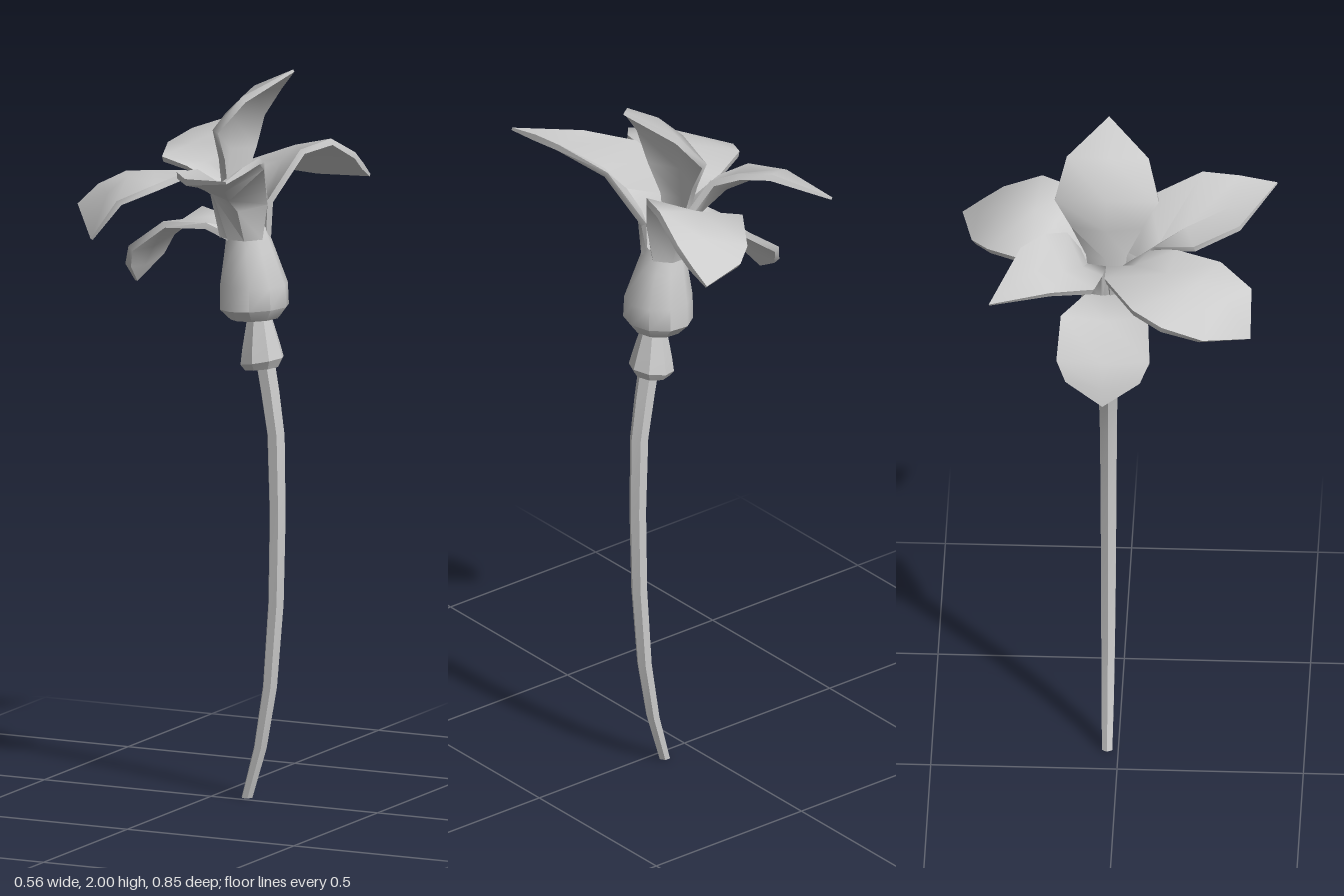
import * as THREE from 'three';
import { toCreasedNormals } from 'three/addons/utils/BufferGeometryUtils.js';

const AXIS_Z = -0.03;
const material = new THREE.MeshStandardMaterial({ color: 0xcccccc, side: THREE.DoubleSide });

function makeGeometry(positions, index, crease) {
  const g = new THREE.BufferGeometry();
  g.setAttribute('position', new THREE.Float32BufferAttribute(positions, 3));
  g.setIndex(index);
  return toCreasedNormals(g, crease);
}

// Closed body through rings given as [x, y, radius, rise towards +x]
function loft(rings, sides, crease) {
  const pos = [], idx = [], last = rings.length - 1;
  for (const [x, y, r, tilt = 0] of rings)
    for (let s = 0; s < sides; s++) {
      const a = (s / sides) * Math.PI * 2;
      pos.push(x + r * Math.cos(a), y + tilt * Math.cos(a), AXIS_Z + r * Math.sin(a));
    }
  for (let i = 0; i < last; i++)
    for (let s = 0; s < sides; s++) {
      const t = (s + 1) % sides, a = i * sides, b = a + sides;
      idx.push(a + s, b + s, a + t, a + t, b + s, b + t);
    }
  for (let s = 1; s < sides - 1; s++) {
    const b = last * sides;
    idx.push(0, s, s + 1, b, b + s + 1, b + s);
  }
  return makeGeometry(pos, idx, crease);
}

// Thin folded blade: rows of left edge, midrib, right edge, ending in a tip
function petal(rows, tip, thickness = 0.018) {
  const grid = [...rows, [tip, tip, tip]].map(r => r.map(p => new THREE.Vector3(...p)));
  const n = grid.length, pos = [], idx = [];
  const under = [];
  grid.forEach((row, i) => {
    const along = grid[Math.min(i + 1, n - 1)][1].clone().sub(grid[Math.max(i - 1, 0)][1]);
    const ref = grid[Math.min(i, n - 2)];
    const normal = ref[2].clone().sub(ref[0]).cross(along).normalize();
    // the blade thins out at the tip
    const depth = i === n - 1 ? thickness * 0.4 : thickness;
    row.forEach(p => {
      pos.push(p.x, p.y, p.z);
      const q = p.clone().addScaledVector(normal, -depth);
      under.push(q.x, q.y, q.z);
    });
  });
  const o = n * 3;
  const quad = (a, b, c, d) => idx.push(a, b, c, b, d, c);
  for (let i = 0; i < n - 1; i++) {
    const a = i * 3, b = a + 3;
    for (let c = 0; c < 2; c++) {
      quad(a + c, a + c + 1, b + c, b + c + 1);
      quad(o + a + c + 1, o + a + c, o + b + c + 1, o + b + c);
    }
    quad(o + a, a, o + b, b);                 // left rim
    quad(a + 2, o + a + 2, b + 2, o + b + 2); // right rim
  }
  return makeGeometry([...pos, ...under], idx, 1.0);
}

// Rows for a petal symmetric about the flower's middle plane:
// [edge x, edge y, half width, midrib x, midrib y]
const mirrored = list => list.map(([ex, ey, w, mx, my]) =>
  [[ex, ey, AXIS_Z + w], [mx, my, AXIS_Z], [ex, ey, AXIS_Z - w]]);

const petals = {
  upperPetal: [mirrored([
    [0.06, 1.54, 0.04, 0.045, 1.54], [0.062, 1.68, 0.055, 0.036, 1.68],
    [0.074, 1.76, 0.095, 0.042, 1.77], [0.076, 1.84, 0.14, 0.046, 1.86],
    [0.143, 1.925, 0.11, 0.125, 1.935]]), [0.235, 1.998, AXIS_Z]],
  lowerPetal: [mirrored([
    [0.07, 1.54, 0.04, 0.07, 1.55], [0.0, 1.575, 0.06, 0.02, 1.56],
    [-0.1, 1.58, 0.117, -0.1, 1.565], [-0.2, 1.505, 0.125, -0.2, 1.495],
    [-0.222, 1.45, 0.1, -0.23, 1.435]]), [-0.243, 1.385, AXIS_Z]],
  frontLeftPetal: [[
    [[0.145, 1.54, -0.02], [0.11, 1.54, 0.02], [0.06, 1.54, 0.02]],
    [[0.155, 1.64, -0.03], [0.105, 1.63, 0.05], [0.03, 1.66, 0.04]],
    [[0.2, 1.765, 0.08], [0.11, 1.675, 0.11], [0.01, 1.735, 0.1]],
    [[0.255, 1.81, 0.22], [0.13, 1.715, 0.18], [0, 1.745, 0.205]],
    [[0.255, 1.8, 0.32], [0.18, 1.75, 0.3], [0.085, 1.755, 0.325]]], [0.255, 1.78, 0.42]],
  backLeftPetal: [[
    [[0.06, 1.54, -0.08], [0.11, 1.54, -0.08], [0.145, 1.54, -0.04]],
    [[0.045, 1.63, -0.1], [0.105, 1.65, -0.11], [0.155, 1.64, -0.03]],
    [[0.025, 1.68, -0.155], [0.13, 1.725, -0.17], [0.215, 1.77, -0.105]],
    [[-0.015, 1.695, -0.23], [0.14, 1.755, -0.225], [0.255, 1.785, -0.21]],
    [[0.065, 1.675, -0.35], [0.19, 1.725, -0.32], [0.275, 1.73, -0.315]],
    [[0.125, 1.66, -0.395], [0.22, 1.685, -0.38], [0.272, 1.69, -0.37]]], [0.265, 1.65, -0.425]],
  backRightPetal: [[
    [[0.04, 1.54, -0.03], [0.05, 1.54, -0.07], [0.1, 1.54, -0.08]],
    [[0.02, 1.66, -0.03], [0.03, 1.66, -0.08], [0.07, 1.68, -0.1]],
    [[-0.09, 1.71, -0.035], [-0.06, 1.715, -0.09], [0.02, 1.77, -0.135]],
    [[-0.175, 1.725, -0.055], [-0.13, 1.75, -0.14], [-0.03, 1.8, -0.195]],
    [[-0.215, 1.74, -0.17], [-0.165, 1.775, -0.215], [-0.095, 1.8, -0.255]]], [-0.24, 1.715, -0.335]],
  frontRightPetal: [[
    [[0.09, 1.54, 0.02], [0.05, 1.54, 0.01], [0.04, 1.54, -0.03]],
    [[0.04, 1.67, 0.04], [0.02, 1.66, 0.01], [0.02, 1.66, -0.03]],
    [[0.02, 1.72, 0.09], [-0.04, 1.71, 0.05], [-0.09, 1.7, -0.03]],
    [[0, 1.735, 0.16], [-0.1, 1.73, 0.14], [-0.23, 1.7, 0.05]],
    [[-0.03, 1.72, 0.28], [-0.14, 1.725, 0.22], [-0.273, 1.675, 0.13]],
    [[-0.1, 1.685, 0.365], [-0.16, 1.69, 0.3], [-0.28, 1.64, 0.24]]], [-0.178, 1.575, 0.365]],
};

export function createModel() {
  const flower = new THREE.Group();
  flower.name = 'flower';
  const add = (name, geometry) => {
    const mesh = new THREE.Mesh(geometry, material);
    mesh.name = name;
    flower.add(mesh);
  };

  // Curved, slightly tapering stem
  add('stem', loft([
    [0.093, 0, 0.016], [0.133, 0.14, 0.019], [0.162, 0.31, 0.021], [0.18, 0.54, 0.023],
    [0.185, 0.78, 0.024], [0.18, 1.0, 0.026], [0.162, 1.12, 0.028], [0.144, 1.22, 0.029]], 6, 0.6));

  // Flared collar below the bulb
  add('collar', loft([
    [0.138, 1.18, 0.048, 0.006], [0.138, 1.2, 0.061, 0.012],
    [0.135, 1.24, 0.053, 0.008], [0.13, 1.32, 0.034]], 8, 0.6));

  // Swollen calyx
  add('calyx', loft([
    [0.118, 1.315, 0.067, 0.004], [0.115, 1.345, 0.094, 0.006], [0.114, 1.41, 0.092],
    [0.102, 1.5, 0.069], [0.093, 1.56, 0.054]], 10, 0.7));

  // Ring of petals
  for (const [name, [rows, tip]] of Object.entries(petals)) add(name, petal(rows, tip));

  return flower;
}
